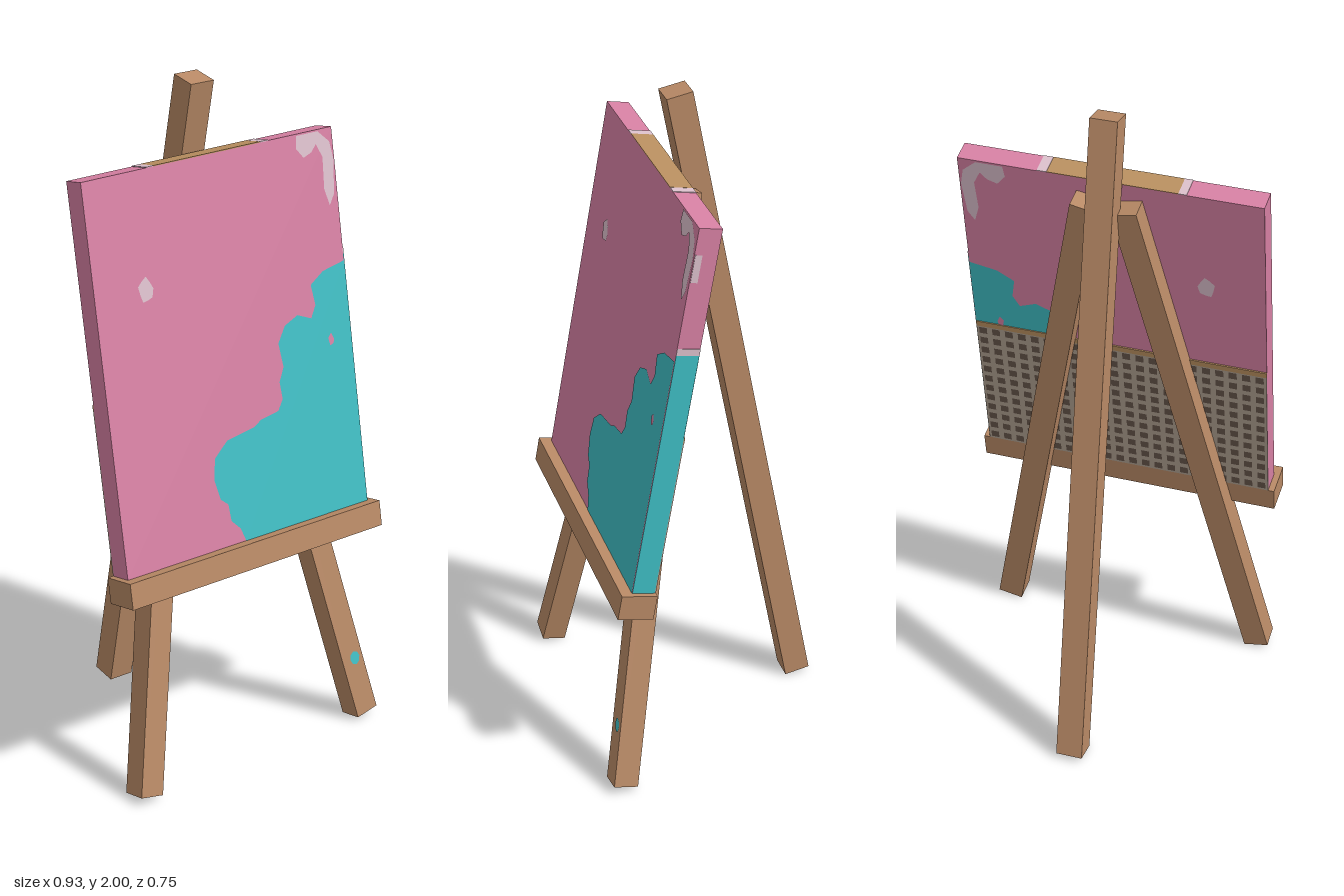
import * as THREE from 'three';
import { mergeGeometries } from 'three/addons/utils/BufferGeometryUtils.js';

const mat = (name, color, side = THREE.FrontSide) => {
  const m = new THREE.MeshStandardMaterial({ color, side });
  m.name = name;
  return m;
};

export function createModel() {
  const wood = mat('wood', 0xb98a66);
  const pink = mat('pink paint', 0xd881a4);
  const teal = mat('teal paint', 0x3fbec4, THREE.DoubleSide);
  const pale = mat('pale paint', 0xdcc0cc, THREE.DoubleSide);
  const pinkSpot = mat('pink spot', 0xd881a4, THREE.DoubleSide);
  const tan = mat('bare edge', 0xba9060);
  const weave = mat('weave', 0xb0a091);
  const weaveDark = mat('weave holes', 0x66554a);

  const model = new THREE.Group();
  model.name = 'easel';

  const add = (parent, name, geometry, material, x = 0, y = 0, z = 0) => {
    const mesh = new THREE.Mesh(geometry, material);
    mesh.name = name;
    mesh.position.set(x, y, z);
    parent.add(mesh);
    return mesh;
  };
  const box = (parent, name, material, w, h, d, x, y, z) =>
    add(parent, name, new THREE.BoxGeometry(w, h, d), material, x, y, z);

  // Straight square beam between two points
  const beam = (name, from, to, w, d) => {
    const a = new THREE.Vector3(...from), b = new THREE.Vector3(...to);
    const dir = b.clone().sub(a);
    const mesh = box(model, name, wood, w, dir.length(), d, 0, 0, 0);
    mesh.position.copy(a).add(b).multiplyScalar(0.5);
    mesh.quaternion.setFromUnitVectors(new THREE.Vector3(0, 1, 0), dir.normalize());
    return mesh;
  };

  // Three legs
  beam('rearLeg', [-0.014, 0.012, -0.338], [0, 1.992, 0.043], 0.08, 0.077);
  const legs = {};
  for (const [name, s] of [['leftFrontLeg', 1], ['rightFrontLeg', -1]]) {
    legs[name] = beam(name, [s * 0.412, 0.016, 0.338], [s * 0.058, 1.72, 0.034], 0.077, 0.072);
  }
  // Paint drip on the left front leg
  const drip = add(legs.leftFrontLeg, 'paintDrip', new THREE.CircleGeometry(0.018, 8), teal, 0.008, -0.7, 0.0375);
  drip.scale.y = 1.2;

  // Tilted board: origin at the lower front edge of the canvas
  const tilt = 0.1755, H = 1.117, W = 0.888, T = 0.066;
  const board = new THREE.Group();
  board.name = 'board';
  board.position.set(0, 0.69, 0.31);
  board.rotation.x = -tilt;
  model.add(board);

  box(board, 'tray', wood, 0.925, 0.076, 0.105, 0, -0.038, -0.0175);
  box(board, 'canvas', pink, W, H, T, 0, H / 2, -T / 2);

  // Flat paint patches, outlined in upright x, y and showing on both faces
  const patch = (name, points, material, lift) => {
    const shape = new THREE.Shape(points.map(([x, y]) =>
      new THREE.Vector2(x, (y - 0.69) / Math.cos(tilt))));
    const geometry = new THREE.ShapeGeometry(shape);
    add(board, name + 'Front', geometry, material, 0, 0, lift);
    add(board, name + 'Back', geometry, material, 0, 0, -T - lift);
  };
  const blob = (cx, cy, rx, ry) => Array.from({ length: 9 }, (_, i) => {
    const a = i / 9 * Math.PI * 2, r = i % 2 ? 0.85 : 1.05;
    return [cx + Math.cos(a) * rx * r, cy + Math.sin(a) * ry * r];
  });

  patch('tealArea', [
    [0.443, 0.69], [-0.02, 0.69], [-0.035, 0.73], [-0.065, 0.76], [-0.07, 0.81], [-0.095, 0.83],
    [-0.11, 0.89], [-0.1, 0.95], [-0.05, 0.99], [0.05, 1.005], [0.08, 1.02], [0.145, 1.03],
    [0.165, 1.06], [0.16, 1.11], [0.18, 1.15], [0.17, 1.22], [0.2, 1.265], [0.25, 1.285],
    [0.3, 1.265], [0.32, 1.3], [0.31, 1.36], [0.36, 1.39], [0.443, 1.405],
  ], teal, 0.0015);
  patch('cornerPatch', [
    [0.31, 1.785], [0.305, 1.75], [0.33, 1.72], [0.36, 1.73], [0.38, 1.75], [0.4, 1.71],
    [0.395, 1.62], [0.41, 1.57], [0.43, 1.6], [0.44, 1.7], [0.43, 1.75], [0.39, 1.785],
  ], pale, 0.0015);
  patch('paleSpot', blob(-0.272, 1.465, 0.025, 0.035), pale, 0.0015);
  patch('pinkSpot', blob(0.365, 1.19, 0.01, 0.018), pinkSpot, 0.003);

  // Painted side edge
  const side = W / 2 + 0.0005;
  box(board, 'sideTeal', teal, 0.003, 0.745, T, side, 0.3725, -T / 2);
  box(board, 'sidePaleBand', pale, 0.003, 0.02, T, side, 0.755, -T / 2);
  box(board, 'sidePaleSpot', pale, 0.003, 0.08, 0.02, side, 1.0, -0.012);

  // Bare strip on the top edge, with pale ends
  box(board, 'topBareStrip', tan, 0.38, 0.003, T, -0.01, H + 0.0005, -T / 2);
  for (const x of [-0.21, 0.195]) {
    box(board, 'topPaleBand', pale, 0.028, 0.003, T, x, H + 0.0005, -T / 2);
  }

  // Woven lower part of the back
  const gridH = 0.48, cols = 22, rows = 12;
  box(board, 'weavePanel', weave, W, gridH, 0.004, 0, gridH / 2, -T - 0.002);
  box(board, 'weaveTopBand', tan, W, 0.018, 0.005, 0, gridH + 0.004, -T - 0.002);
  const cw = W / cols, ch = gridH / rows;
  const holes = [];
  for (let i = 0; i < cols; i++) {
    for (let j = 0; j < rows; j++) {
      const hole = new THREE.PlaneGeometry(cw * 0.6, ch * 0.6);
      hole.rotateY(Math.PI);
      hole.translate((i + 0.5) * cw - W / 2, (j + 0.5) * ch, 0);
      holes.push(hole);
    }
  }
  add(board, 'weaveHoles', mergeGeometries(holes), weaveDark, 0, 0, -T - 0.0055);

  return model;
}
